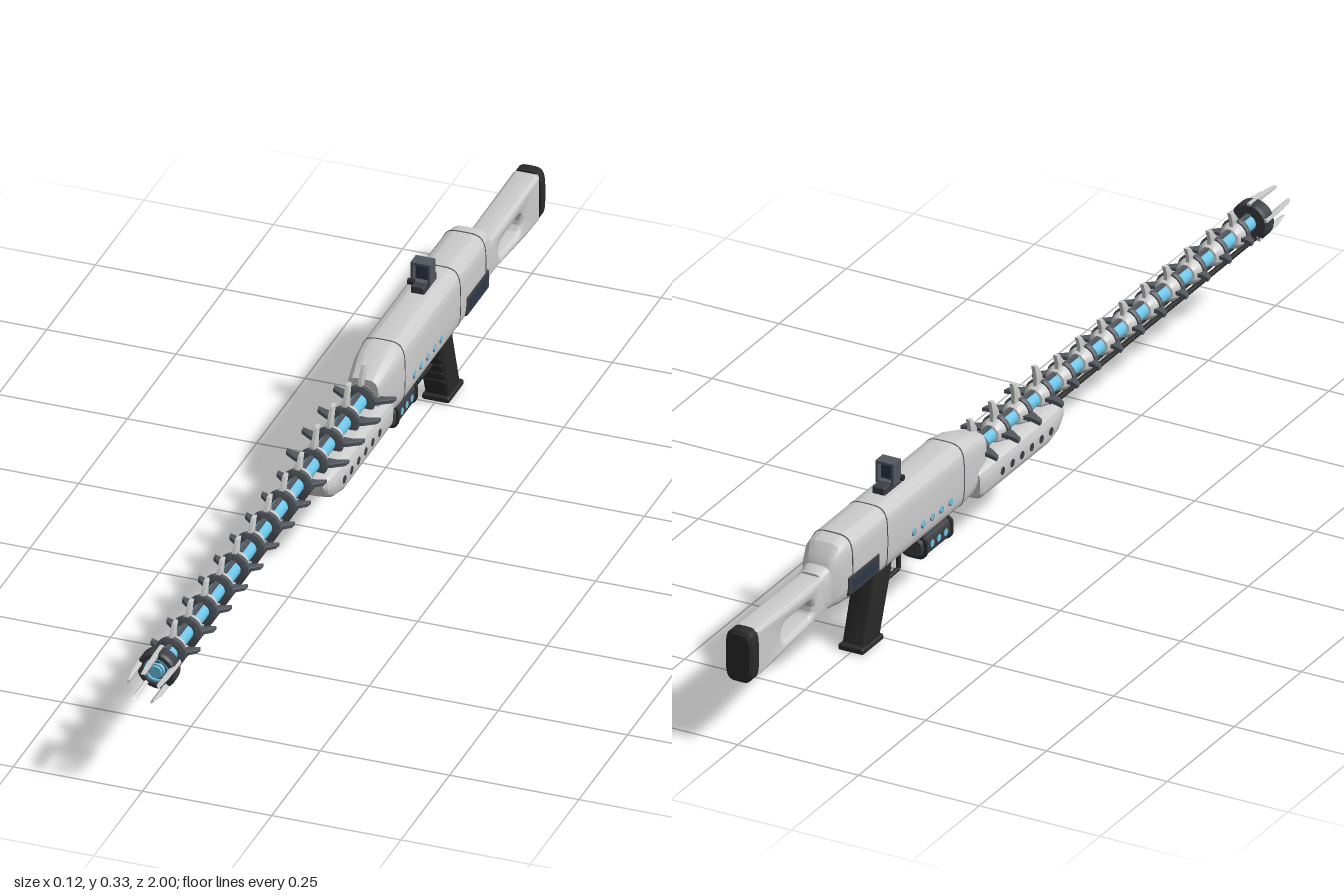
import * as THREE from 'three';
import { toCreasedNormals } from 'three/addons/utils/BufferGeometryUtils.js';
import { RoundedBoxGeometry } from 'three/addons/geometries/RoundedBoxGeometry.js';

const mat = (color) => new THREE.MeshStandardMaterial({ color });
const grey = mat(0xcccccc), steel = mat(0x53585f), dark = mat(0x3b3e44), black = mat(0x2a2a2a);
const blue = mat(0x6cc4e6), glass = mat(0x2c3848);
const AXIS = 0.213; // barrel height

function add(parent, name, geo, material, x = 0, y = 0, z = 0) {
  const m = new THREE.Mesh(geo, material);
  m.name = name;
  m.position.set(x, y, z);
  parent.add(m);
  return m;
}

// Rounded-square cross-sections [z, bottom, top, halfWidth], z rising, joined into a closed skin
function loft(sections, power = 4, n = 40) {
  const pos = [], idx = [];
  const soft = (v) => Math.sign(v) * Math.pow(Math.abs(v), 2 / power);
  for (const [z, y0, y1, w] of sections) {
    for (let j = 0; j < n; j++) {
      const a = (j / n) * Math.PI * 2;
      pos.push(w * soft(Math.cos(a)), (y0 + y1) / 2 + ((y1 - y0) / 2) * soft(Math.sin(a)), z);
    }
  }
  const last = (sections.length - 1) * n;
  for (const s of [sections[0], sections[sections.length - 1]]) pos.push(0, (s[1] + s[2]) / 2, s[0]);
  for (let j = 0; j < n; j++) {
    const k = (j + 1) % n;
    for (let i = 0; i < last; i += n) idx.push(i + j, i + k, i + n + j, i + k, i + n + k, i + n + j);
    idx.push(last + n, k, j, last + n + 1, last + j, last + k);
  }
  const g = new THREE.BufferGeometry();
  g.setAttribute('position', new THREE.Float32BufferAttribute(pos, 3));
  g.setIndex(idx);
  return toCreasedNormals(g, 0.5);
}

const toShape = (pts) => new THREE.Shape(pts.map(([a, b]) => new THREE.Vector2(a, b)));

// Side profile in (z, y), given a width along x and a bevel
function slab(shape, width, bevel) {
  const g = new THREE.ExtrudeGeometry(shape, {
    depth: width - 2 * bevel, bevelEnabled: bevel > 0, bevelThickness: bevel,
    bevelSize: bevel, bevelOffset: -bevel, bevelSegments: 3, curveSegments: 10,
  });
  g.translate(0, 0, bevel - width / 2);
  g.rotateY(-Math.PI / 2);
  return toCreasedNormals(g, 0.6);
}

// Turned part along z from [radius, z] points
function turned(pts, n = 28) {
  const g = new THREE.LatheGeometry(pts.map(([r, z]) => new THREE.Vector2(r, z)), n);
  g.rotateX(Math.PI / 2);
  return toCreasedNormals(g, 0.6);
}

const across = (r, len) => new THREE.CylinderGeometry(r, r, len, 16).rotateZ(Math.PI / 2);
const along = (r, len, n = 20) => new THREE.CylinderGeometry(r, r, len, n).rotateX(Math.PI / 2);

function makeBarrel() {
  const barrel = new THREE.Group();
  barrel.name = 'barrel';
  barrel.position.y = AXIS;
  add(barrel, 'glowingCore', along(0.015, 1.06), blue, 0, 0, 0.4);
  add(barrel, 'topRail', new THREE.BoxGeometry(0.009, 0.008, 1.05), steel, 0, 0.014, 0.4);
  for (const s of [-1, 1]) add(barrel, 'lowerRod', along(0.005, 0.85, 8), black, s * 0.009, -0.032, 0.5);

  // Thirteen collars, each with one upper and two side fins swept backward
  const collarGeo = turned([[0.014, -0.02], [0.019, -0.018], [0.025, -0.004], [0.025, 0.002], [0.014, 0.002]]);
  const bandGeo = turned([[0.014, 0.002], [0.028, 0.002], [0.029, 0.005], [0.029, 0.012], [0.025, 0.014], [0.014, 0.014]]);
  const finGeo = slab(toShape([[0.012, 0.02], [0.01, 0.033], [-0.007, 0.056], [-0.019, 0.058], [-0.012, 0.036], [-0.012, 0.02]]), 0.008, 0.001);
  for (let i = 0; i < 13; i++) {
    const ring = new THREE.Group();
    ring.name = 'coilRing';
    ring.position.z = 0.845 - i * 0.081;
    add(ring, 'collar', collarGeo, grey);
    add(ring, 'band', bandGeo, steel);
    const size = i > 8 ? 1.15 : 0.9;
    for (const k of [-1, 0, 1]) {
      const fin = add(ring, k ? 'sideFin' : 'topFin', finGeo, k ? steel : grey);
      fin.rotation.z = (k * Math.PI) / 2;
      fin.scale.y = k ? size * 0.9 : size;
    }
    barrel.add(ring);
  }

  // Muzzle crown with five prongs around a glowing centre
  add(barrel, 'muzzleRing', turned([[0.013, 0.9], [0.034, 0.9], [0.038, 0.905], [0.038, 0.926], [0.034, 0.931], [0.026, 0.931], [0.026, 0.922], [0.012, 0.922]], 32), dark);
  add(barrel, 'muzzleGlow', new THREE.TorusGeometry(0.022, 0.003, 8, 32), blue, 0, 0, 0.925);
  add(barrel, 'muzzleTip', along(0.012, 0.03), blue, 0, 0, 0.92);
  const prongGeo = slab(toShape([[0.9, 0.029], [0.995, 0.028], [1, 0.031], [0.965, 0.037], [0.9, 0.039]]), 0.008, 0.001);
  for (let i = 0; i < 5; i++) add(barrel, 'prong', prongGeo, grey).rotation.z = (i * Math.PI * 2) / 5;
  return barrel;
}

function makeReceiver() {
  const body = new THREE.Group();
  body.name = 'receiver';
  add(body, 'receiverShell', loft([[-0.712, 0.15, 0.225, 0.026], [-0.7, 0.148, 0.25, 0.034], [-0.68, 0.146, 0.27, 0.04], [-0.65, 0.145, 0.276, 0.043],
    [-0.23, 0.145, 0.276, 0.043], [-0.19, 0.148, 0.27, 0.041], [-0.13, 0.165, 0.25, 0.031]]), grey);
  for (const z of [-0.235, -0.52, -0.65]) add(body, 'seam', loft([[z - 0.0015, 0.1445, 0.2765, 0.0434], [z + 0.0015, 0.1445, 0.2765, 0.0434]]), steel);
  for (let i = 0; i < 5; i++) {
    add(body, 'lightRim', across(0.009, 0.0855), steel, 0, 0.186, -0.285 - i * 0.034);
    add(body, 'sideLight', across(0.0065, 0.087), blue, 0, 0.186, -0.285 - i * 0.034);
  }
  add(body, 'sidePanel', new RoundedBoxGeometry(0.089, 0.04, 0.115, 2, 0.004), dark, 0, 0.181, -0.607);
  add(body, 'panelSlot', new THREE.BoxGeometry(0.0905, 0.02, 0.085), glass, 0, 0.181, -0.607);

  // Forend under the rear of the barrel
  add(body, 'forend', loft([[-0.175, 0.14, 0.197, 0.042], [-0.165, 0.134, 0.2, 0.046], [0.08, 0.134, 0.2, 0.046],
    [0.12, 0.143, 0.199, 0.043], [0.145, 0.157, 0.197, 0.037], [0.152, 0.17, 0.194, 0.03]]), grey);
  for (let i = 0; i < 6; i++) add(body, 'ventHole', across(0.008, 0.0925), dark, 0, 0.165, 0.083 - i * 0.036);

  // Light pod slung under the receiver
  add(body, 'podMount', new THREE.BoxGeometry(0.022, 0.03, 0.08), dark, 0, 0.138, -0.295);
  add(body, 'pod', loft([[-0.352, 0.097, 0.126, 0.018], [-0.344, 0.09, 0.133, 0.024], [-0.246, 0.09, 0.133, 0.024], [-0.236, 0.096, 0.128, 0.019]], 3.5), dark);
  for (let i = 0; i < 3; i++) add(body, 'podLight', across(0.007, 0.0495), blue, 0, 0.112, -0.27 - i * 0.025);
  for (const z of [-0.248, -0.343]) add(body, 'podBand', loft([[z - 0.004, 0.088, 0.135, 0.026], [z + 0.004, 0.088, 0.135, 0.026]], 3.5), black);
  return body;
}

function makeGrip() {
  const grip = new THREE.Group();
  grip.name = 'grip';
  add(grip, 'gripHandle', slab(toShape([[-0.466, 0.15], [-0.47, 0.125], [-0.513, 0.008], [-0.572, 0.008], [-0.535, 0.125], [-0.532, 0.15]]), 0.049, 0.008), black);
  add(grip, 'gripBase', new RoundedBoxGeometry(0.053, 0.012, 0.078, 2, 0.004), black, 0, 0.006, -0.543);
  for (let i = 0; i < 4; i++) {
    const y = 0.11 - i * 0.021;
    add(grip, 'gripRidge', new RoundedBoxGeometry(0.04, 0.009, 0.014, 2, 0.003), black, 0, y, -0.475 - (0.125 - y) * 0.36);
  }
  // Guard bar and curved trigger
  const path = new THREE.CurvePath();
  const p = [[0.15, -0.403], [0.092, -0.403], [0.09, -0.48]].map(([y, z]) => new THREE.Vector3(0, y, z));
  for (let i = 0; i < 2; i++) path.add(new THREE.LineCurve3(p[i], p[i + 1]));
  add(grip, 'triggerGuard', new THREE.TubeGeometry(path, 40, 0.0045, 8), black);
  const bend = new THREE.QuadraticBezierCurve3(new THREE.Vector3(0, 0.15, -0.436), new THREE.Vector3(0, 0.125, -0.452), new THREE.Vector3(0, 0.106, -0.436));
  add(grip, 'trigger', new THREE.TubeGeometry(bend, 10, 0.004, 8), steel);
  return grip;
}

function makeStock() {
  const stock = new THREE.Group();
  stock.name = 'stock';
  const side = toShape([[-0.69, 0.15], [-0.69, 0.228], [-0.74, 0.223], [-0.78, 0.224], [-0.975, 0.226], [-0.975, 0.129], [-0.9, 0.133], [-0.76, 0.147]]);
  const hole = new THREE.Path();
  hole.absarc(-0.782, 0.179, 0.017, -Math.PI / 2, Math.PI / 2, false);
  hole.absarc(-0.862, 0.177, 0.02, Math.PI / 2, Math.PI * 1.5, false);
  hole.closePath();
  side.holes.push(hole);
  add(stock, 'stockFrame', slab(side, 0.052, 0.009), grey);
  add(stock, 'neckCollar', loft([[-0.73, 0.148, 0.228, 0.026], [-0.7, 0.146, 0.238, 0.031]]), grey);
  add(stock, 'buttPad', loft([[-1, 0.132, 0.222, 0.023], [-0.995, 0.126, 0.229, 0.028], [-0.972, 0.126, 0.229, 0.028]]), black);
  return stock;
}

function makeSight() {
  const sight = new THREE.Group();
  sight.name = 'sight';
  add(sight, 'sightBase', new RoundedBoxGeometry(0.026, 0.018, 0.066, 2, 0.003), dark, 0, 0.281, -0.445);
  const frame = toShape([[-0.019, 0], [0.019, 0], [0.019, 0.044], [-0.019, 0.044]]);
  frame.holes.push(new THREE.Path([[-0.014, 0.005], [-0.014, 0.039], [0.014, 0.039], [0.014, 0.005]].map(([a, b]) => new THREE.Vector2(a, b))));
  const head = new THREE.Group();
  head.name = 'sightHead';
  head.position.set(0, 0.286, -0.455);
  add(head, 'sightFrame', new THREE.ExtrudeGeometry(frame, { depth: 0.028, bevelEnabled: false }), steel);
  add(head, 'sightLens', new THREE.BoxGeometry(0.029, 0.035, 0.003), glass, 0, 0.022, 0.014);
  sight.add(head);
  add(sight, 'sightKnob', across(0.006, 0.012), black, -0.017, 0.291, -0.425);
  return sight;
}

export function createModel() {
  const model = new THREE.Group();
  model.name = 'coilRifle';
  model.add(makeBarrel(), makeReceiver(), makeGrip(), makeStock(), makeSight());
  return model;
}
